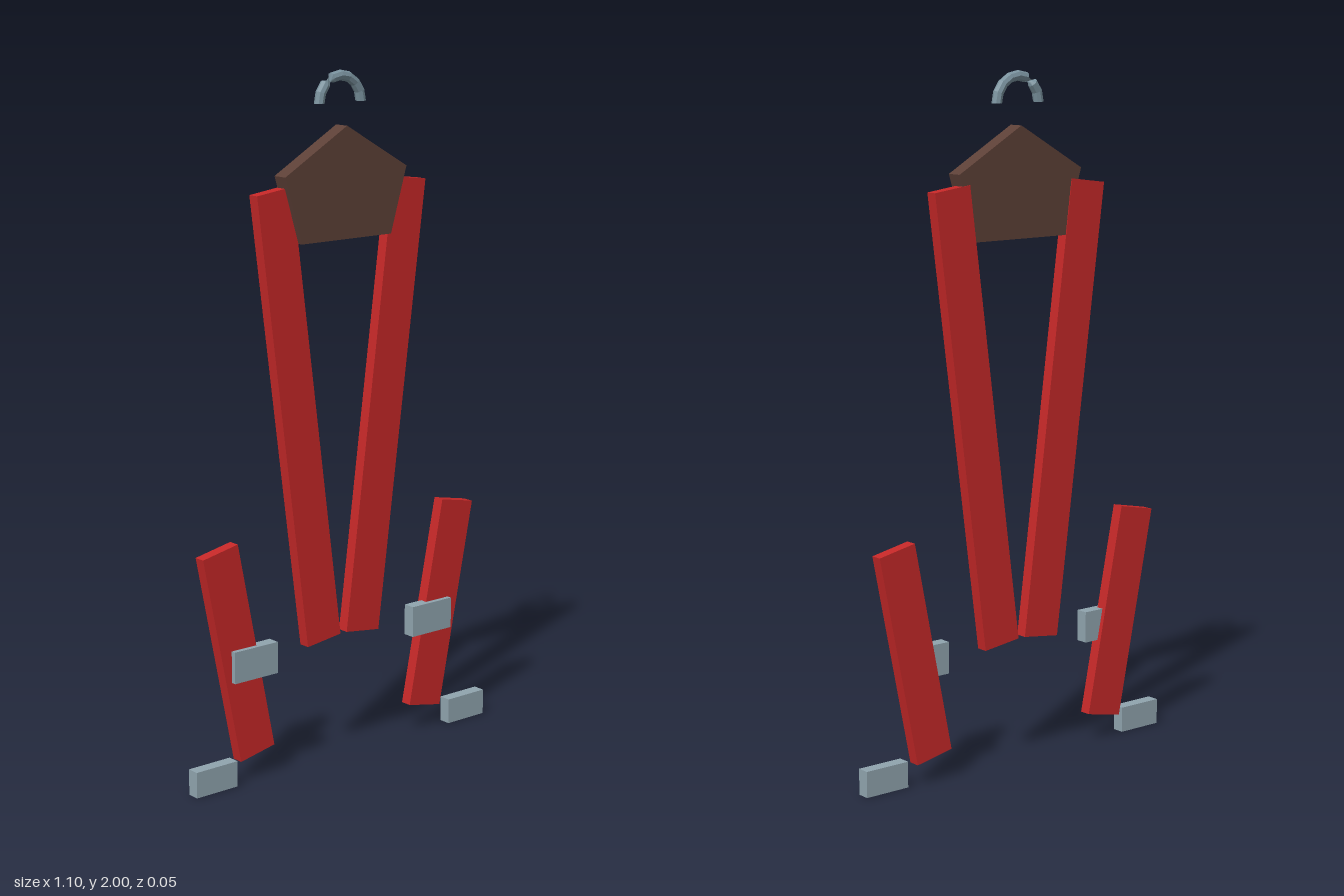
import * as THREE from 'three';

const paint = (color) => new THREE.MeshStandardMaterial({ color, flatShading: true });

// Half-ring tube swept in loops; one span is twisted half a turn, which pinches it
function hookGeometry(R, r, spans, sides, twistAt) {
  const pos = [], index = [];
  for (let i = 0; i <= spans; i++) {
    const a = (i / spans) * Math.PI;
    for (let j = 0; j < sides; j++) {
      const b = (j / sides) * Math.PI * 2 + (i >= twistAt ? Math.PI : 0);
      const d = R + r * Math.cos(b);
      pos.push(d * Math.cos(a), d * Math.sin(a), r * Math.sin(b));
    }
  }
  for (let i = 0; i < spans; i++) {
    for (let j = 0; j < sides; j++) {
      const k = (j + 1) % sides;
      const a = i * sides + j, b = i * sides + k;
      index.push(a, a + sides, b, b, a + sides, b + sides);
    }
  }
  // End caps
  const last = spans * sides;
  for (let j = 1; j < sides - 1; j++) {
    index.push(0, j, j + 1, last, last + j + 1, last + j);
  }
  const geo = new THREE.BufferGeometry();
  geo.setAttribute('position', new THREE.Float32BufferAttribute(pos, 3));
  geo.setIndex(index);
  geo.computeVertexNormals();
  return geo;
}

export function createModel() {
  const model = new THREE.Group();
  model.name = 'harness';
  const red = paint(0xc62828);
  const brown = paint(0x5d4037);
  const steel = paint(0x90a4ae);
  const hookSteel = paint(0x78909c);
  hookSteel.side = THREE.DoubleSide;

  const add = (name, geometry, material, x, y, z, tilt = 0) => {
    const mesh = new THREE.Mesh(geometry, material);
    mesh.name = name;
    mesh.position.set(x, y, z);
    mesh.rotation.z = tilt;
    model.add(mesh);
  };

  // Five-sided back plate
  const plate = new THREE.Shape([
    [0, 1.847], [-0.22, 1.72], [-0.163, 1.53], [0.163, 1.53], [0.22, 1.72],
  ].map(([x, y]) => new THREE.Vector2(x, y)));
  add('backPlate', new THREE.ExtrudeGeometry(plate, { depth: 0.048, bevelEnabled: false }),
    brown, 0, 0, -0.023);

  // Hanging hook above the plate
  add('hook', hookGeometry(0.075, 0.015, 8, 8, 6), hookSteel, 0, 1.91, -0.006);

  // Mirrored straps and buckles
  const shoulder = new THREE.BoxGeometry(0.123, 1.332, 0.035);
  const leg = new THREE.BoxGeometry(0.123, 0.632, 0.035);
  const legBuckle = new THREE.BoxGeometry(0.153, 0.093, 0.037);
  const endBuckle = new THREE.BoxGeometry(0.143, 0.076, 0.037);
  for (const [side, s] of [['left', 1], ['right', -1]]) {
    add(side + 'ShoulderStrap', shoulder, red, s * 0.159, 1.022, -0.0075, -s * 0.13);
    add(side + 'LegStrap', leg, red, s * 0.382, 0.385, -0.0075, -s * 0.199);
    add(side + 'LegBuckle', legBuckle, steel, s * 0.333, 0.353, 0.0065);
    add(side + 'EndBuckle', endBuckle, steel, s * 0.476, 0.038, 0.0065);
  }
  return model;
}
